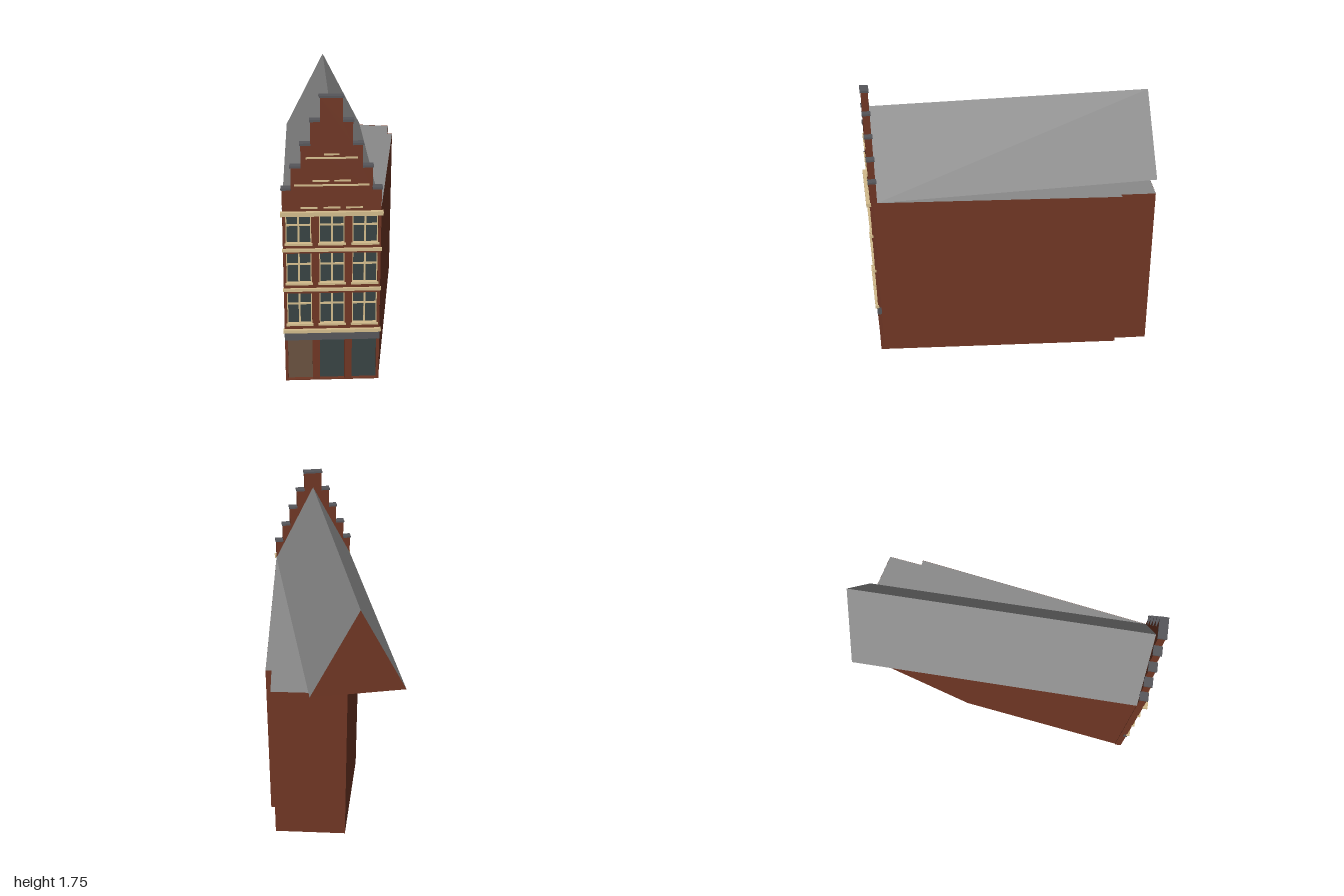
import * as THREE from 'three';

const mat = (name, color, side = THREE.FrontSide) => {
  const m = new THREE.MeshStandardMaterial({ color, side });
  m.name = name;
  return m;
};

export function createModel() {
  const brick = mat('brick', 0x6f3624, THREE.DoubleSide);
  const slate = mat('roofGrey', 0x8a8a8a, THREE.DoubleSide);
  const stone = mat('darkStone', 0x56565a);
  const cream = mat('creamTrim', 0xd2bb8c);
  const glass = mat('windowGlass', 0x384343);
  const wood = mat('doorWood', 0x69513f);

  const model = new THREE.Group();
  model.name = 'steppedGableHouse';
  const add = (parent, name, geometry, material) => {
    const mesh = new THREE.Mesh(geometry, material);
    mesh.name = name;
    parent.add(mesh);
    return mesh;
  };
  // box given by centre x, bottom and top, back and front
  const slab = (parent, name, material, x, w, y0, y1, z0, z1) => {
    const mesh = add(parent, name, new THREE.BoxGeometry(w, y1 - y0, z1 - z0), material);
    mesh.position.set(x, (y0 + y1) / 2, (z0 + z1) / 2);
    return mesh;
  };
  // surface from triangles or four-cornered faces
  const faces = (list) => {
    const p = [];
    for (const f of list)
      for (let i = 1; i < f.length - 1; i++) p.push(...f[0], ...f[i], ...f[i + 1]);
    const g = new THREE.BufferGeometry();
    g.setAttribute('position', new THREE.Float32BufferAttribute(p, 3));
    g.computeVertexNormals();
    return g;
  };

  // irregular house body: open below, front closed by the facade
  const EAVE = 1.09;
  const plan = [
    [-0.19, 0.97], [0.637, -0.4], [0.605, -0.416], [0.717, -0.61],
    [0.35, -0.86], [-0.1, -0.303], [-0.702, 0.752],
  ];
  const walls = [];
  for (let i = 0; i < plan.length - 1; i++) {
    const [ax, az] = plan[i], [bx, bz] = plan[i + 1];
    walls.push([[ax, 0, az], [bx, 0, bz], [bx, EAVE, bz], [ax, EAVE, az]]);
  }
  add(model, 'bodyWalls', faces(walls), brick);
  const flat = new THREE.ShapeGeometry(new THREE.Shape(plan.map(([x, z]) => new THREE.Vector2(x, -z))));
  flat.rotateX(-Math.PI / 2);
  add(model, 'flatRoof', flat, slate).position.y = EAVE - 0.002;

  // street-facing part, turned to the street line
  const turned = new THREE.Group();
  turned.name = 'streetAlignedPart';
  turned.rotation.y = -THREE.MathUtils.degToRad(22.9);
  turned.position.set(-0.444, 0, 0.86);
  model.add(turned);

  // pitched roof with brick back gable
  const h = 0.2825, zf = -0.043, zb = -1.897, ridge = 1.635;
  add(turned, 'pitchedRoof', faces([
    [[h, EAVE, zf], [h, EAVE, zb], [0, ridge, zb], [0, ridge, zf]],
    [[-h, EAVE, zb], [-h, EAVE, zf], [0, ridge, zf], [0, ridge, zb]],
  ]), slate);
  add(turned, 'backGable', faces([[[h, EAVE, zb], [-h, EAVE, zb], [0, ridge, zb]]]), brick);

  // facade wall with stepped gable and openings
  const steps = [[0.28, 1.22], [0.228, 1.348], [0.172, 1.478], [0.117, 1.61], [0.062, 1.742]];
  const right = [];
  let y = 0;
  for (const [w, top] of steps) {
    right.push(new THREE.Vector2(w, y), new THREE.Vector2(w, top));
    y = top;
  }
  const left = right.map((p) => new THREE.Vector2(-p.x, p.y)).reverse();
  const outline = new THREE.Shape([...right, ...left]);
  const columns = [-0.19, 0, 0.19];
  const halfW = 0.073;
  // bottom, top and transom height of each floor
  const floors = [[0.38, 0.582, 0.51], [0.645, 0.835, 0.763], [0.893, 1.072, 1.005]];
  const hole = (x, y0, y1) => {
    outline.holes.push(new THREE.Path([
      new THREE.Vector2(x - halfW, y0), new THREE.Vector2(x - halfW, y1),
      new THREE.Vector2(x + halfW, y1), new THREE.Vector2(x + halfW, y0),
    ]));
  };
  for (const x of columns) {
    hole(x, 0.006, 0.277);
    for (const [y0, y1] of floors) hole(x, y0, y1);
  }
  const wall = new THREE.ExtrudeGeometry(outline, { depth: 0.043, bevelEnabled: false });
  add(turned, 'facadeWall', wall, brick).position.z = -0.043;

  // gable step copings
  steps.forEach(([w, top], i) => {
    const next = i < steps.length - 1 ? steps[i + 1][0] : 0;
    if (next === 0) {
      slab(turned, 'topCoping', stone, 0, 2 * w + 0.012, top, top + 0.012, -0.049, 0.006);
      return;
    }
    for (const s of [-1, 1])
      slab(turned, 'stepCoping', stone, (s * (w + 0.006 + next)) / 2, w + 0.006 - next,
        top, top + 0.012, -0.049, 0.006);
  });

  // windows with cross bars and sills
  for (const x of columns) {
    for (const [y0, y1, bar] of floors) {
      const win = new THREE.Group();
      win.name = 'window';
      turned.add(win);
      slab(win, 'pane', glass, x, 2 * halfW, y0, y1, -0.026, -0.02);
      slab(win, 'mullion', cream, x, 0.011, y0, y1, -0.03, -0.012);
      slab(win, 'transom', cream, x, 2 * halfW, bar - 0.005, bar + 0.005, -0.03, -0.012);
      for (const s of [-1, 1])
        slab(win, 'sideFrame', cream, x + s * (halfW - 0.003), 0.006, y0, y1, -0.03, -0.014);
      slab(win, 'sill', cream, x, 0.16, y0 - 0.006, y0 + 0.006, -0.02, 0.01);
    }
  }

  // ground floor door and shop windows
  columns.forEach((x, i) =>
    slab(turned, i ? 'shopWindow' : 'door', i ? glass : wood, x, 2 * halfW, 0.006, 0.277, -0.03, -0.022));
  slab(turned, 'shopLintel', stone, 0, 0.562, 0.278, 0.33, -0.02, 0.008);

  // horizontal mouldings
  for (const [y0, y1, w, d] of [
    [0.33, 0.35, 0.574, 0.019], [0.6, 0.617, 0.57, 0.014],
    [0.85, 0.867, 0.57, 0.014], [1.07, 1.094, 0.58, 0.025],
    [1.244, 1.253, 0.42, 0.008], [1.402, 1.411, 0.29, 0.008],
  ]) slab(turned, 'moulding', cream, 0, w, y0, y1, -0.005, d);

  // small ledges in the gable
  for (const [yy, w, xs] of [
    [1.115, 0.095, [-0.127, 0, 0.127]], [1.274, 0.093, [-0.06, 0.06]], [1.427, 0.084, [0]],
  ]) for (const x of xs) slab(turned, 'gableLedge', cream, x, w, yy - 0.004, yy + 0.004, -0.005, 0.008);

  return model;
}
